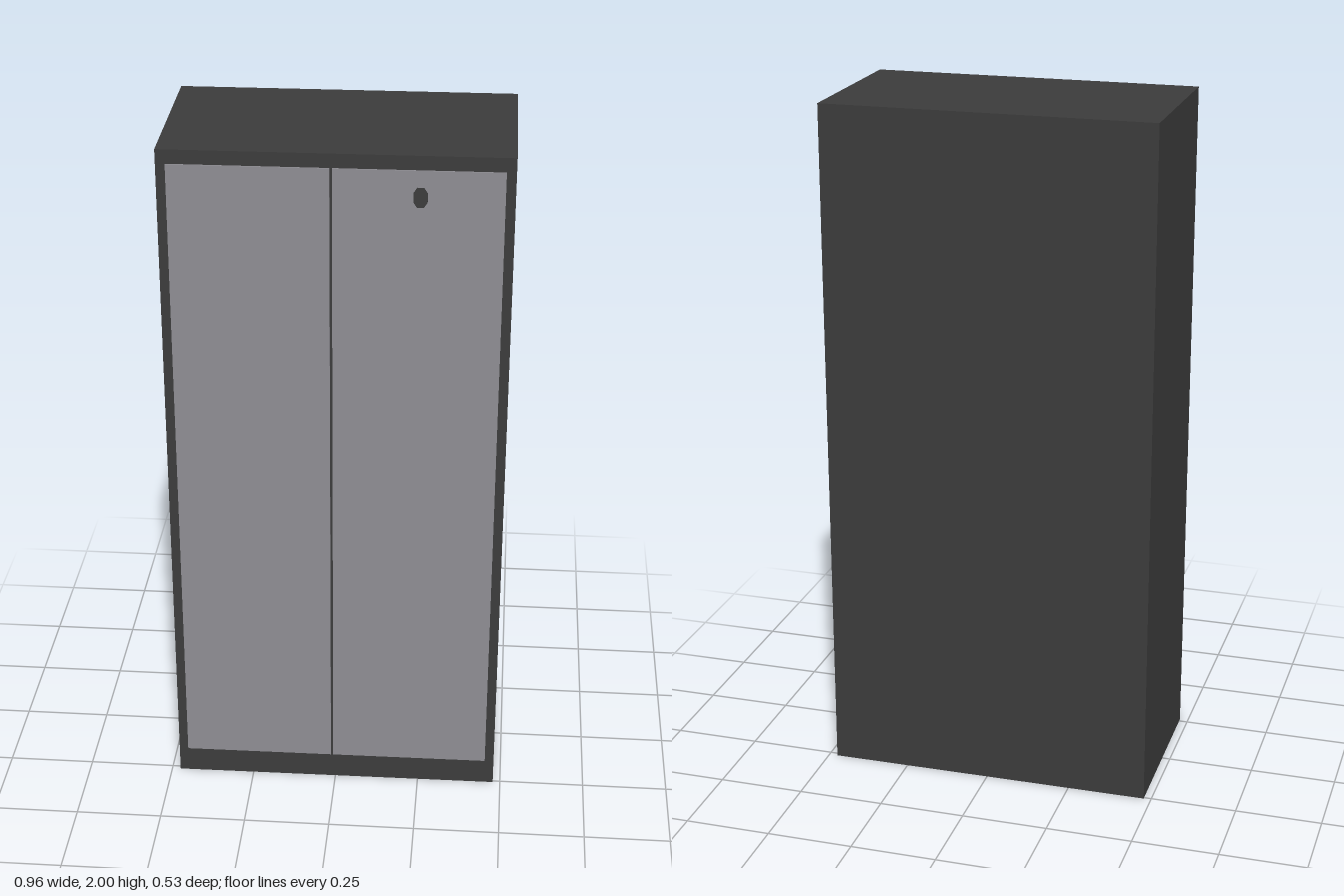
import * as THREE from 'three';

const WIDTH = 0.953, HEIGHT = 2, DEPTH = 0.518;
const FRONT = DEPTH / 2;

export function createModel() {
  const charcoal = new THREE.MeshStandardMaterial({ name: 'charcoal', color: 0x3c3c3c });
  const grey = new THREE.MeshStandardMaterial({ name: 'doorGrey', color: 0x8f8e94 });

  const cabinet = new THREE.Group();
  cabinet.name = 'cabinet';

  // Box spanning x0..x1, y0..y1, z0..z1
  const block = (name, material, x0, x1, y0, y1, z0, z1) => {
    const mesh = new THREE.Mesh(new THREE.BoxGeometry(x1 - x0, y1 - y0, z1 - z0), material);
    mesh.position.set((x0 + x1) / 2, (y0 + y1) / 2, (z0 + z1) / 2);
    mesh.name = name;
    cabinet.add(mesh);
  };

  // Carcass
  block('carcass', charcoal, -WIDTH / 2, WIDTH / 2, 0, HEIGHT, -FRONT, FRONT);

  // Two door fronts with a narrow dark gap between them
  block('rightDoor', grey, -0.45, -0.015, 0.08, 1.96, FRONT - 0.003, FRONT + 0.004);
  block('leftDoor', grey, -0.008, 0.45, 0.08, 1.96, FRONT - 0.003, FRONT + 0.004);

  // Plinth strip under the doors
  block('plinthStrip', charcoal, -0.45, 0.45, 0.05, 0.08, FRONT - 0.003, FRONT + 0.002);

  // Small lock plate with tapered ends
  const outline = [[-0.009, -0.028], [0.009, -0.028], [0.019, -0.013], [0.019, 0.013],
    [0.009, 0.028], [-0.009, 0.028], [-0.019, 0.013], [-0.019, -0.013]];
  const shape = new THREE.Shape(outline.map(([x, y]) => new THREE.Vector2(x, y)));
  const lock = new THREE.Mesh(
    new THREE.ExtrudeGeometry(shape, { depth: 0.004, bevelEnabled: false }), charcoal);
  lock.position.set(0.226, 1.885, FRONT + 0.002);
  lock.name = 'lockPlate';
  cabinet.add(lock);

  // The cabinet stands very slightly turned
  cabinet.rotation.y = 0.007;

  const model = new THREE.Group();
  model.name = 'wardrobe';
  model.add(cabinet);
  return model;
}
